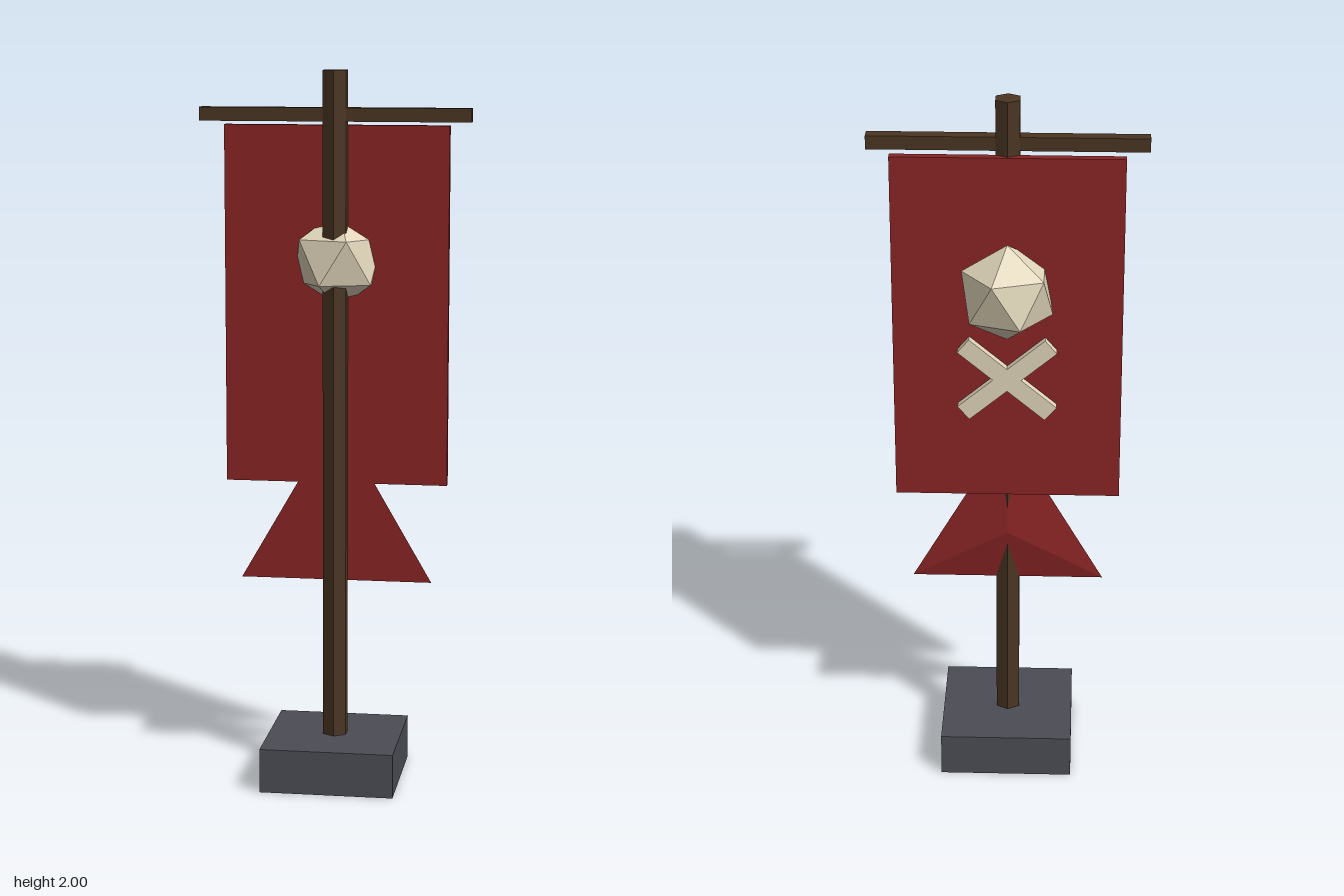
import * as THREE from 'three';

const material = (name, color) => {
  const m = new THREE.MeshStandardMaterial({ color, flatShading: true });
  m.name = name;
  return m;
};

export function createModel() {
  const wood = material('dark wood', 0x4a3522);
  const cloth = material('red cloth', 0x8b2424);
  const bone = material('bone', 0xe0d5ba);
  const stone = material('grey stone', 0x4c4c55);

  const group = new THREE.Group();
  group.name = 'banner';
  const add = (name, geometry, mat, x, y, z) => {
    const mesh = new THREE.Mesh(geometry, mat);
    mesh.name = name;
    mesh.position.set(x, y, z);
    group.add(mesh);
    return mesh;
  };

  // Stand: square block, hexagonal pole and crossbar
  add('base', new THREE.BoxGeometry(0.375, 0.125, 0.375), stone, 0, 0.0625, 0);
  add('pole', new THREE.CylinderGeometry(0.0375, 0.0375, 2, 6), wood, 0, 1, 0);
  add('crossbar', new THREE.BoxGeometry(0.75, 0.0375, 0.0375), wood, 0, 1.88, 0);

  // Cloth panel hanging behind the pole
  add('clothPanel', new THREE.BoxGeometry(0.625, 1, 0.025), cloth, 0, 1.35, -0.031);

  // Tail: shallow three-sided pyramid with its tip towards the back
  const tail = new THREE.ConeGeometry(0.3125, 0.025, 3).rotateX(-Math.PI / 2);
  add('clothTail', tail, cloth, 0, 0.726, -0.031);

  // Skull: icosahedron turned so that one corner points straight up
  const skull = new THREE.IcosahedronGeometry(0.1375, 0)
    .rotateZ(-Math.atan(2 / (1 + Math.sqrt(5))));
  add('skull', skull, bone, 0, 1.475, -0.0625);

  // Crossed bones below the skull
  for (const side of [-1, 1]) {
    const bar = add(side < 0 ? 'rightBone' : 'leftBone',
      new THREE.BoxGeometry(0.3125, 0.05, 0.025), bone, 0, 1.223, -0.069);
    bar.rotation.z = side * 0.7;
  }

  return group;
}
